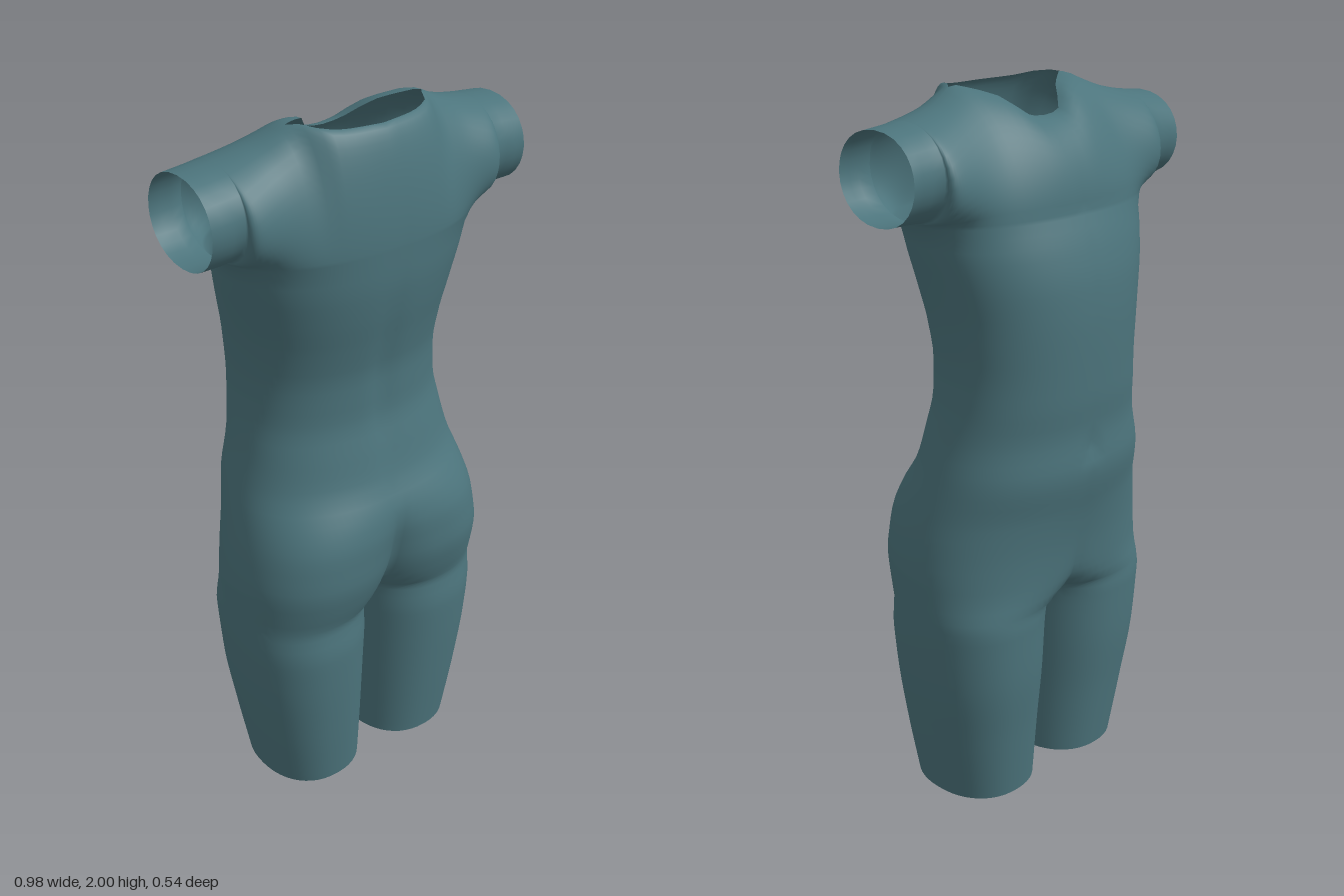
import * as THREE from 'three';
import { mergeVertices } from 'three/addons/utils/BufferGeometryUtils.js';

// Smooth curve without overshoot through [position, value] pairs
function curve(keys) {
  const slope = keys.slice(1).map((k, i) => (k[1] - keys[i][1]) / (k[0] - keys[i][0]));
  const tan = keys.map((k, i) => {
    const a = slope[Math.max(i - 1, 0)], b = slope[Math.min(i, slope.length - 1)];
    return a * b <= 0 ? 0 : 2 * a * b / (a + b);
  });
  return (q) => {
    const s = THREE.MathUtils.clamp(q, keys[0][0], keys[keys.length - 1][0]);
    let i = 0;
    while (i < keys.length - 2 && s > keys[i + 1][0]) i++;
    const h = keys[i + 1][0] - keys[i][0], t = (s - keys[i][0]) / h, u = 1 - t;
    return keys[i][1] * u * u * (1 + 2 * t) + keys[i + 1][1] * t * t * (3 - 2 * t)
      + h * t * u * (u * tan[i] - t * tan[i + 1]);
  };
}

// Body profiles by height
const halfWidth = curve([[0, .325], [.2, .36], [.4, .388], [.6, .4], [.7, .4], [.8, .39], [.9, .37],
  [1, .345], [1.1, .32], [1.2, .304], [1.28, .3], [1.4, .31], [1.5, .33], [1.6, .355], [1.66, .37], [1.69, .395]]);
const seatSide = curve([[0, .205], [.2, .225], [.4, .24], [.5, .244], [.58, .235], [.65, .255], [.75, .275],
  [.84, .275], [.92, .26], [1, .225], [1.1, .2], [1.2, .18], [1.3, .18], [1.4, .195], [1.5, .215], [1.6, .228], [1.69, .231]]);
const bellySide = curve([[0, -.14], [.2, -.165], [.4, -.19], [.6, -.2], [.75, -.213], [.85, -.23], [.95, -.255],
  [1, -.262], [1.1, -.256], [1.2, -.265], [1.4, -.27], [1.5, -.265], [1.6, -.245], [1.69, -.212]]);
const legGap = curve([[0, .02], [.3, .013], [.54, .004], [.57, 0]]);
// How far each half of a section wraps inward: .5 = one body, 1 = separate legs
const seatWrap = curve([[.57, 1], [.6, .84], [.66, .76], [.75, .71], [.85, .64], [.95, .53], [1, .5]]);
const bellyWrap = curve([[.57, 1], [.6, .78], [.66, .62], [.75, .56], [.9, .5]]);

// Shoulder ridge and neck opening by distance from the centre
const ridgeY = curve([[.2, 2], [.23, 1.985], [.3, 1.957], [.4, 1.935], [.49, 1.925]]);
const ridgeZ = curve([[.2, .06], [.3, .03], [.4, .0175]]);
const seatRimZ = curve([[0, .165], [.1, .15], [.17, .12], [.2, .06]]);
const seatRimY = curve([[0, 1.983], [.1, 1.985], [.2, 2]]);
const bellyRimZ = curve([[0, -.07], [.05, -.068], [.12, 0], [.2, .06]]);
const bellyRimY = curve([[0, 1.915], [.05, 1.92], [.12, 1.975], [.2, 2]]);

const COLS = 24, ROWS = 14, POWER = .9, CHEST = 1.69;
const pow = (v) => Math.sign(v) * Math.abs(v) ** POWER;

// Point on the +x half of the section at height y, s from -1 (belly) to 1 (seat)
function sectionPoint(y, s) {
  const wrap = (s > 0 ? seatWrap : bellyWrap)(y) * Math.PI;
  const a = s * wrap, inner = pow(Math.cos(wrap)), gap = legGap(y);
  const x = gap + (halfWidth(y) - gap) * (pow(Math.cos(a)) - inner) / (1 - inner);
  const zf = seatSide(y), zb = bellySide(y);
  return new THREE.Vector3(Math.max(x, 0), y, (zf + zb) / 2 + (zf - zb) / 2 * pow(Math.sin(a)));
}

// Arc from the chest line up to the neck rim or over the shoulder
function shoulderArc(base, side) {
  const x = base.x;
  let top;
  if (x >= .2) top = new THREE.Vector3(x, ridgeY(x), ridgeZ(x));
  else if (side > 0) top = new THREE.Vector3(x, seatRimY(x), seatRimZ(x));
  else top = new THREE.Vector3(x, bellyRimY(x), bellyRimZ(x));
  const f = THREE.MathUtils.clamp((x - .2) / .195, 0, 1), f2 = f * f;
  const out = THREE.MathUtils.lerp(.5 * Math.abs(base.z - top.z), .183, f);
  const c1 = base.clone().add(new THREE.Vector3(0, .12 * (1 - f2), side * .183 * f2));
  const c2 = top.clone().add(new THREE.Vector3(0, 0, side * out));
  return new THREE.CubicBezierCurve3(base, c1, c2, top).getPoints(ROWS);
}

// Shallow spine groove and navel
function sculpt(p) {
  const bump = (v, r) => Math.exp(-(v * v) / (r * r));
  if (p.z > 0) p.z -= .008 * bump(p.x, .035) * bump(p.y - 1.3, .25);
  else p.z += .012 * bump(p.x, .022) * bump(p.y - 1.06, .025);
  return p;
}

// Adds a grid of points and its mirror image
function addGrid(out, rows) {
  const push = (...pts) => pts.forEach((p) => out.push(p.x, p.y, p.z));
  const flip = (p) => new THREE.Vector3(-p.x, p.y, p.z);
  for (let r = 0; r < rows.length - 1; r++) {
    for (let c = 0; c < rows[r].length - 1; c++) {
      const a = rows[r][c], b = rows[r + 1][c], d = rows[r][c + 1], e = rows[r + 1][c + 1];
      push(a, b, d, b, e, d);
      push(...[a, d, b, b, d, e].map(flip));
    }
  }
}

export function createModel() {
  const teal = new THREE.MeshStandardMaterial({ color: 0x4c747c, side: THREE.DoubleSide });
  teal.name = 'teal';
  const positions = [];

  // Legs, hips and trunk in one loft
  const heights = Array.from({ length: 57 }, (_, i) => i * .03).concat(CHEST);
  addGrid(positions, heights.map((y) => Array.from({ length: 2 * COLS + 1 },
    (_, i) => sculpt(sectionPoint(y, i / COLS - 1)))));

  // Shoulders and short sleeves, seat side then belly side
  for (const side of [1, -1]) {
    const bases = [.49, .46, .43].map((x) => new THREE.Vector3(x, CHEST, .0175));
    for (let i = 0; i <= COLS; i++) bases.push(sculpt(sectionPoint(CHEST, side * i / COLS)));
    if (side < 0) bases.reverse();
    const arcs = bases.map((b) => shoulderArc(b, side));
    addGrid(positions, Array.from({ length: ROWS + 1 }, (_, j) => arcs.map((arc) => arc[j])));
  }

  // Weld the seams so the skin shades smoothly
  let geometry = new THREE.BufferGeometry();
  geometry.setAttribute('position', new THREE.Float32BufferAttribute(positions, 3));
  geometry = mergeVertices(geometry, 1e-4);
  geometry.computeVertexNormals();

  const torso = new THREE.Mesh(geometry, teal);
  torso.name = 'torso';
  const model = new THREE.Group();
  model.name = 'torsoForm';
  model.add(torso);
  return model;
}
